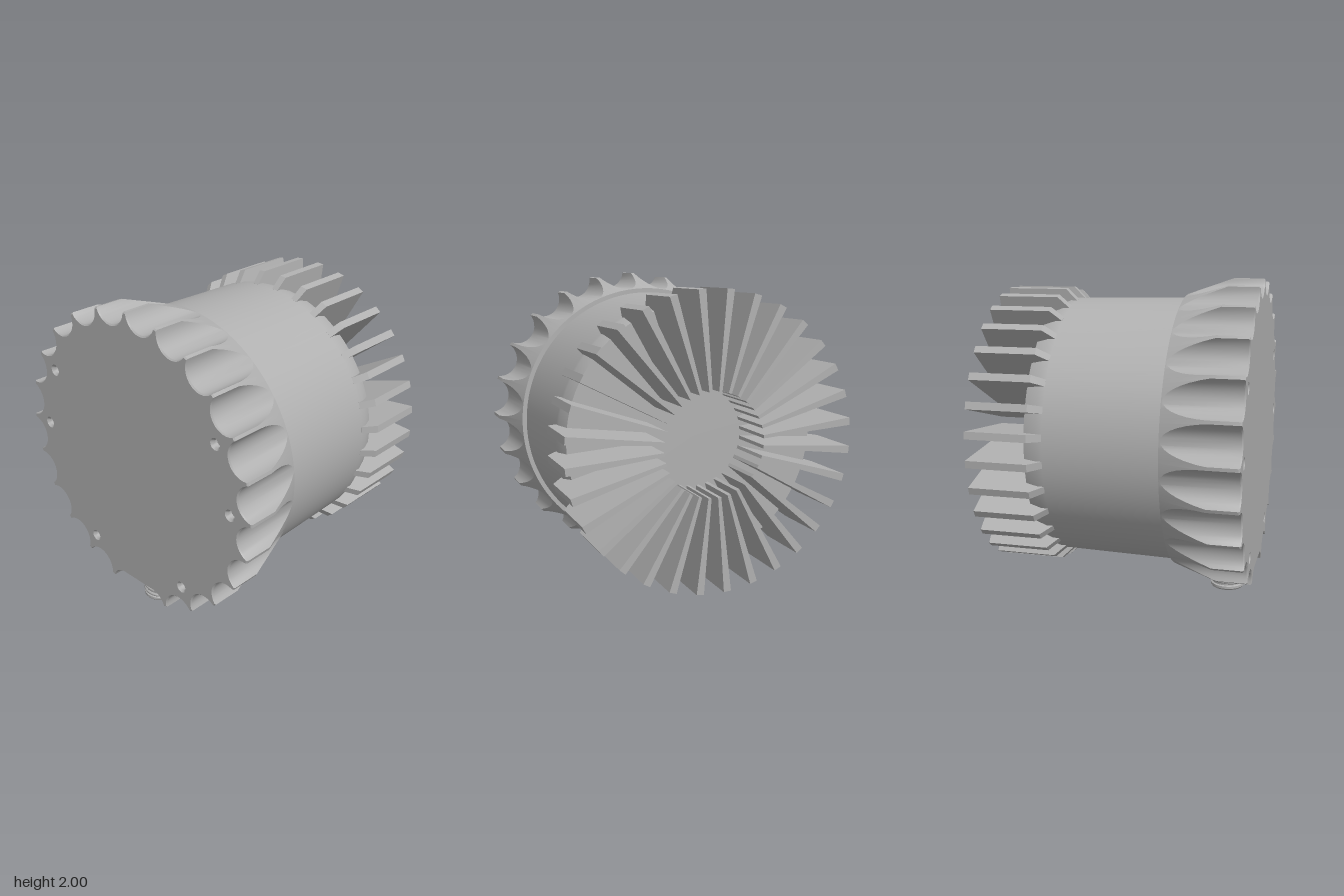
import * as THREE from 'three';
import { toCreasedNormals } from 'three/addons/utils/BufferGeometryUtils.js';

const AXIS_Y = 1.04;          // height of the housing axis
const TEETH = 24, FINS = 32;
const STEP = (Math.PI * 2) / TEETH;
const V = (x, y) => new THREE.Vector2(x, y);

// Scalloped outline around the axis, clockwise seen from the front
function collarOutline() {
  const a = 0.1195, C = 0.9845, T = 1.304, N = 14, pts = [];
  for (let k = 0; k < TEETH; k++) {
    const phi = (k + 0.5) * STEP;
    for (let i = 0; i <= N; i++) {
      // the tooth above the cable socket is cut flat
      if ((k === 11 && i > N / 2) || (k === 12 && i < N / 2)) continue;
      const t = -T + (2 * T * i) / N;
      const x = a * Math.sin(t), y = C - a * Math.cos(t);
      pts.push(V(x * Math.cos(phi) + y * Math.sin(phi), y * Math.cos(phi) - x * Math.sin(phi)));
    }
  }
  return pts;
}

// Collar side: bevel, fluted wall, cone and back lip as loops joined in strips
function collarSide(outline) {
  const zBack = 0.34, rBack = 0.862;
  const columns = outline.map((p) => {
    const s = p.length();
    const at = (r, z) => [(p.x * r) / s, (p.y * r) / s, z];
    const zBreak = Math.max(zBack + (0.28 * (s - rBack)) / (0.96 - rBack), zBack);
    return [at(s - 0.008, 0.81), at(s, 0.802), at(s, zBreak), at(Math.min(s, rBack), zBack), at(0.825, zBack)];
  });
  const out = [];
  columns.forEach((c, i) => {
    const d = columns[(i + 1) % columns.length];
    for (let j = 0; j < c.length - 1; j++) {
      out.push(...c[j], ...d[j], ...c[j + 1], ...d[j], ...d[j + 1], ...c[j + 1]);
    }
  });
  const g = new THREE.BufferGeometry();
  g.setAttribute('position', new THREE.Float32BufferAttribute(out, 3));
  return toCreasedNormals(g, 0.45);
}

// One radial cooling fin, thinner towards the centre
function finGeometry() {
  const shape = new THREE.Shape([
    V(0.31, -0.81), V(0.89, -0.81), V(0.89, -0.43), V(0.82, -0.36), V(0.77, -0.36), V(0.77, -0.47), V(0.31, -0.47),
  ]);
  const g = new THREE.ExtrudeGeometry(shape, { depth: 1, bevelEnabled: false });
  const p = g.attributes.position;
  for (let i = 0; i < p.count; i++) {
    const thick = THREE.MathUtils.mapLinear(p.getX(i), 0.31, 0.89, 0.02, 0.046);
    p.setZ(i, (p.getZ(i) - 0.5) * thick);
  }
  g.rotateX(Math.PI / 2);
  g.computeVertexNormals();
  return g;
}

export function createModel() {
  const model = new THREE.Group();
  model.name = 'finnedLampHousing';
  const metal = new THREE.MeshStandardMaterial({ color: 0xb0b0b0 });
  metal.name = 'grey metal';

  const add = (parent, name, geometry) => {
    const m = new THREE.Mesh(geometry, metal);
    m.name = name;
    parent.add(m);
    return m;
  };
  const lathe = (pts, seg) =>
    toCreasedNormals(new THREE.LatheGeometry(pts.map(([x, y]) => V(x, y)), seg), 0.45);

  const housing = new THREE.Group();
  housing.name = 'housing';
  housing.position.y = AXIS_Y;
  model.add(housing);

  // Barrel
  add(housing, 'barrel', lathe([
    [0, -0.48], [0.79, -0.48], [0.82, -0.4], [0.82, -0.36], [0.835, 0.36],
  ], 96).rotateX(Math.PI / 2));

  // Fluted front collar
  const outline = collarOutline();
  add(housing, 'flutedCollar', collarSide(outline));

  // Front face with six screw recesses
  const face = new THREE.Shape(outline.map((p) => p.clone().setLength(p.length() - 0.008)));
  const cup = lathe([[0.037, 0], [0.024, -0.016], [0.024, -0.04], [0, -0.04]], 20).rotateX(Math.PI / 2);
  for (const deg of [0, 30, 150, 180, 240, 300]) {
    const a = THREE.MathUtils.degToRad(deg);
    const x = 0.8 * Math.cos(a), y = 0.8 * Math.sin(a);
    face.holes.push(new THREE.Path().absarc(x, y, 0.037, 0, Math.PI * 2, true));
    add(housing, 'screwRecess', cup).position.set(x, y, 0.81);
  }
  add(housing, 'frontFace', new THREE.ShapeGeometry(face, 10)).position.z = 0.81;

  // Cooling fins
  const fin = finGeometry();
  for (let i = 0; i < FINS; i++) {
    add(housing, 'coolingFin', fin).rotation.z = ((i + 0.5) * Math.PI * 2) / FINS;
  }

  // Cable socket under the collar
  const socket = new THREE.Group();
  socket.name = 'cableSocket';
  socket.position.z = 0.62;
  model.add(socket);
  add(socket, 'socketSleeve', lathe([
    [0, 0.04], [0.082, 0.04], [0.082, 0], [0.1, 0], [0.108, 0.01], [0.108, 0.025], [0.098, 0.03], [0.098, 0.2],
  ], 40));

  // Coarse thread
  const helix = [];
  for (let i = 0; i <= 40; i++) {
    const t = i / 40, a = t * Math.PI * 4;
    helix.push(new THREE.Vector3(0.098 * Math.cos(a), 0.035 + 0.065 * t, 0.098 * Math.sin(a)));
  }
  add(socket, 'socketThread', new THREE.TubeGeometry(new THREE.CatmullRomCurve3(helix), 80, 0.011, 6));

  // Hexagonal nut with a chamfered lower edge
  const nut = new THREE.Group();
  nut.name = 'socketNut';
  nut.rotation.y = Math.PI / 6;
  socket.add(nut);
  const hex = (rTop, rBottom, h, y) =>
    add(nut, 'nutSection', toCreasedNormals(new THREE.CylinderGeometry(rTop, rBottom, h, 6), 0.3)).position.y = y;
  hex(0.152, 0.152, 0.08, 0.16);
  hex(0.152, 0.132, 0.015, 0.1125);

  // Contact pins
  const pin = new THREE.CylinderGeometry(0.011, 0.011, 0.03, 10);
  add(socket, 'contactPin', pin).position.y = 0.028;
  for (let i = 0; i < 7; i++) {
    const a = (i * Math.PI * 2) / 7;
    add(socket, 'contactPin', pin).position.set(0.05 * Math.cos(a), 0.028, 0.05 * Math.sin(a));
  }
  return model;
}
